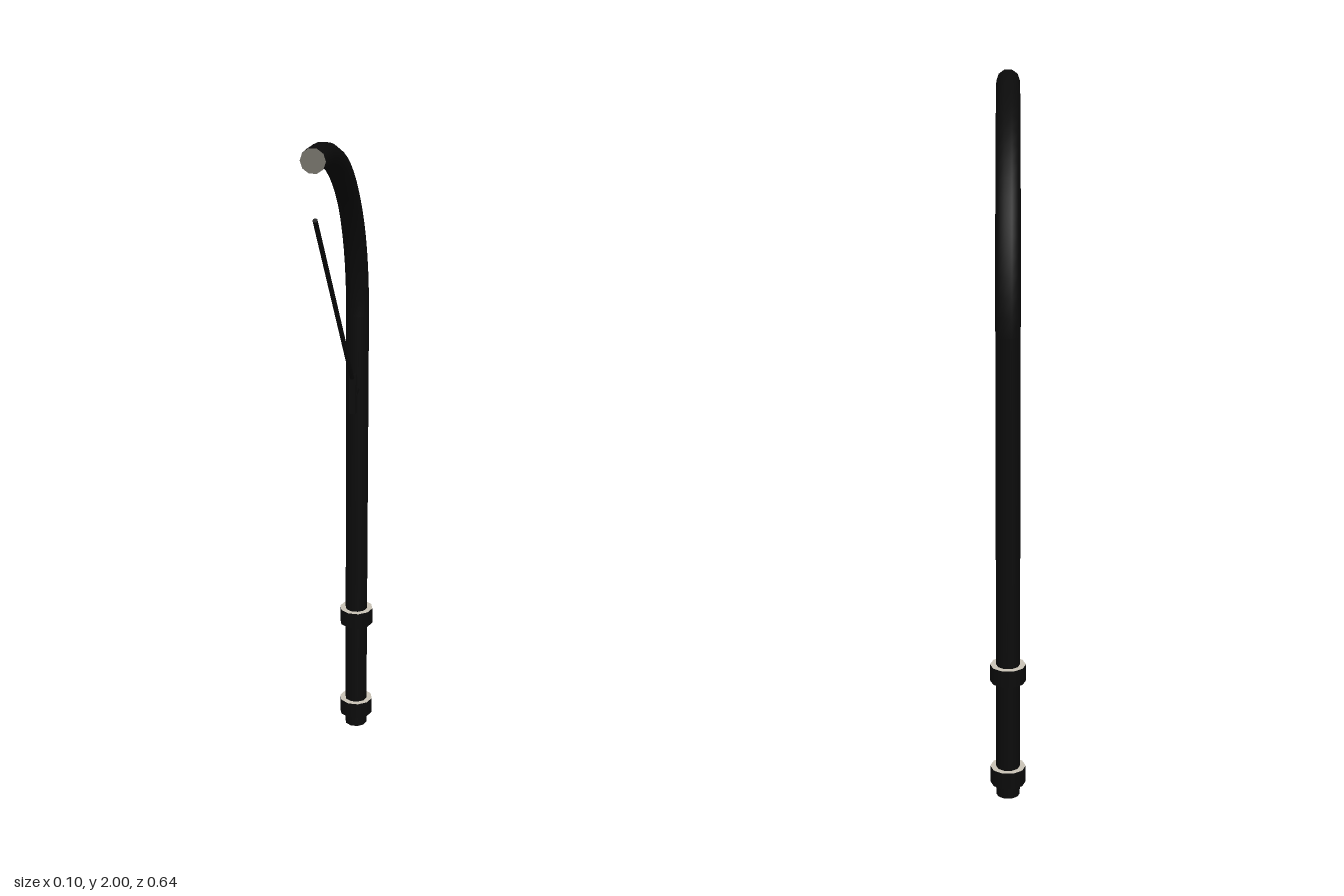
import * as THREE from 'three';

const POLE_Z = -0.275;
const SIDES = 10;
const BEND_START = 1.37;
const BEND_RADIUS = 0.596;
const BEND_ROWS = 18;

const black = new THREE.MeshStandardMaterial({ color: 0x0b0b0b });
const pipeEnd = new THREE.MeshStandardMaterial({ color: 0x77746c });
const rim = new THREE.MeshStandardMaterial({ color: 0xcbc5b8 });

function addMesh(parent, name, geometry, material, x, y, z) {
  const mesh = new THREE.Mesh(geometry, material);
  mesh.name = name;
  mesh.position.set(x, y, z);
  parent.add(mesh);
  return mesh;
}

// Upright pipe whose upper rows follow a quarter circle towards +z
function bentPipe(radius) {
  const rows = BEND_ROWS + 1;
  const geometry = new THREE.CylinderGeometry(radius, radius, rows, SIDES, rows, false, Math.PI / 2);
  geometry.translate(0, rows / 2, 0);
  const pos = geometry.attributes.position;
  const nor = geometry.attributes.normal;
  const p = new THREE.Vector3();
  const n = new THREE.Vector3();
  const xAxis = new THREE.Vector3(1, 0, 0);
  for (let i = 0; i < pos.count; i++) {
    p.fromBufferAttribute(pos, i);
    n.fromBufferAttribute(nor, i);
    const row = p.y;
    if (row <= 1.001) {
      p.y = row * BEND_START;
    } else {
      const angle = ((row - 1) / BEND_ROWS) * Math.PI / 2;
      p.set(p.x, 0, p.z - BEND_RADIUS).applyAxisAngle(xAxis, angle);
      p.y += BEND_START;
      p.z += BEND_RADIUS;
      n.applyAxisAngle(xAxis, angle);
    }
    pos.setXYZ(i, p.x, p.y, p.z);
    nor.setXYZ(i, n.x, n.y, n.z);
  }
  return geometry;
}

// Round bar between two points
function addRod(parent, name, from, to, radius) {
  const along = to.clone().sub(from);
  const geometry = new THREE.CylinderGeometry(radius, radius, along.length(), 8);
  const mid = from.clone().add(to).multiplyScalar(0.5);
  const rod = addMesh(parent, name, geometry, black, mid.x, mid.y, mid.z);
  rod.quaternion.setFromUnitVectors(new THREE.Vector3(0, 1, 0), along.normalize());
  return rod;
}

export function createModel() {
  const model = new THREE.Group();
  model.name = 'curvedPole';

  // Pole and overhanging arm in one piece
  addMesh(model, 'pole', bentPipe(0.034), [black, pipeEnd, pipeEnd], 0, 0, POLE_Z);

  // Two collars round the lower pole
  for (const [name, y] of [['lowerCollar', 0.064], ['upperCollar', 0.384]]) {
    const collar = new THREE.CylinderGeometry(0.051, 0.051, 0.05, SIDES, 1, false, Math.PI / 2);
    addMesh(model, name, collar, [black, rim, rim], 0, y, POLE_Z);
  }

  // Bracket: short stub with an upright bar
  const bracket = new THREE.Group();
  bracket.name = 'bracket';
  model.add(bracket);
  addMesh(bracket, 'bracketBar', new THREE.BoxGeometry(0.02, 0.122, 0.013), black, 0, 1.145, -0.207);
  addRod(bracket, 'bracketStub', new THREE.Vector3(0, 1.145, -0.25), new THREE.Vector3(0, 1.145, -0.208), 0.013);

  // Slanting stay under the arm
  addRod(model, 'stay', new THREE.Vector3(0, 1.2, -0.194), new THREE.Vector3(0, 1.806, 0.298), 0.007);

  return model;
}
